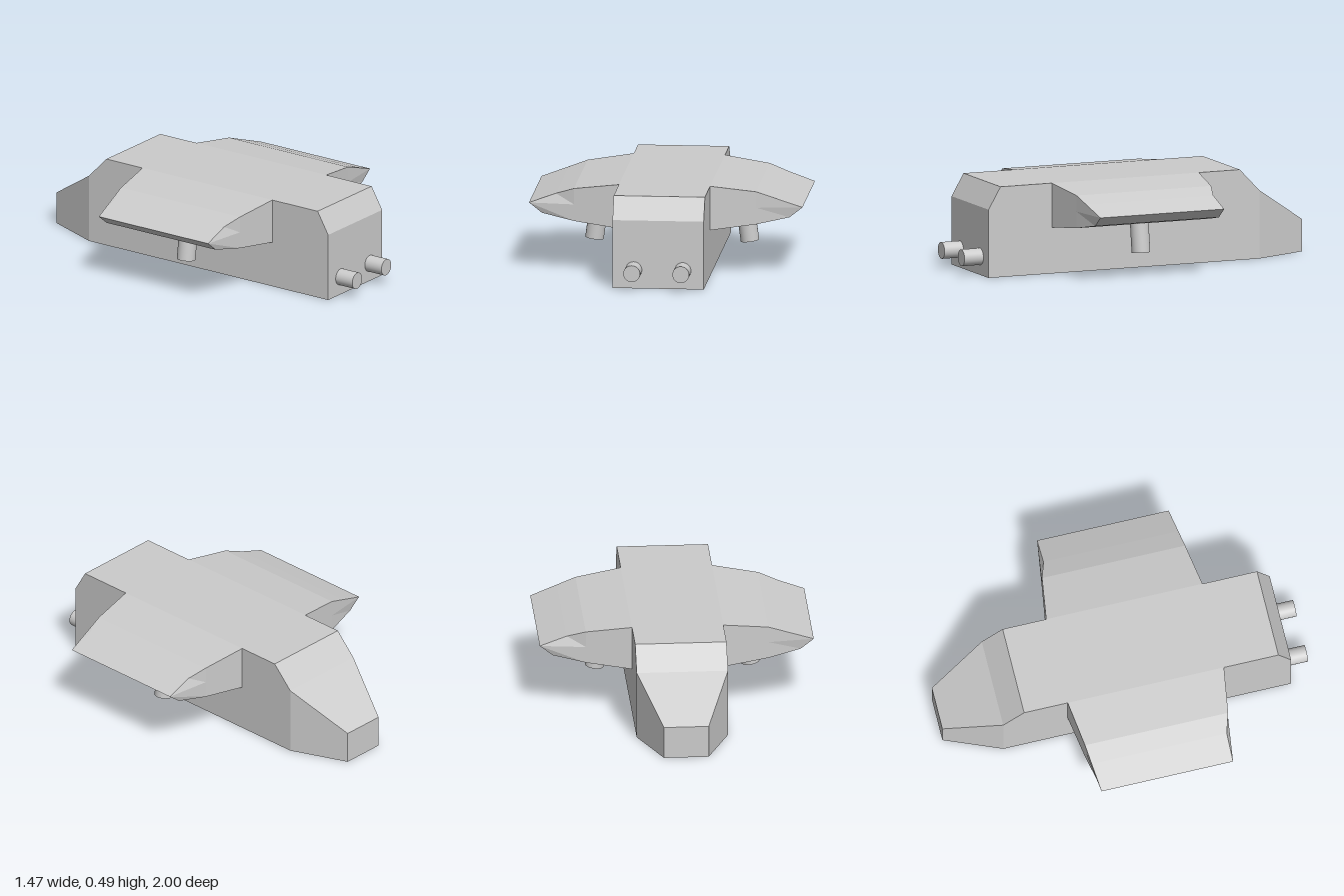
import * as THREE from 'three';

const material = new THREE.MeshStandardMaterial({ color: 0xcccccc, flatShading: true });
const smooth = new THREE.MeshStandardMaterial({ color: 0xcccccc });

// Faceted solid through cross-sections; rings run counter-clockwise seen from the end of travel
function loft(rings) {
  const positions = [];
  const quad = (a, b, c, d) => [a, b, c, a, c, d].forEach((p) => positions.push(...p));
  const cap = (r) => {
    const n = r.length;
    for (let k = 0; k < n / 2 - 1; k++) quad(r[k], r[k + 1], r[n - 2 - k], r[n - 1 - k]);
  };
  for (let i = 0; i < rings.length - 1; i++) {
    const p = rings[i], q = rings[i + 1], n = p.length;
    for (let j = 0; j < n; j++) quad(p[j], p[(j + 1) % n], q[(j + 1) % n], q[j]);
  }
  cap([...rings[0]].reverse());
  cap(rings[rings.length - 1]);
  const geometry = new THREE.BufferGeometry();
  geometry.setAttribute('position', new THREE.Float32BufferAttribute(positions, 3));
  geometry.computeVertexNormals();
  return geometry;
}

export function createModel() {
  const model = new THREE.Group();
  model.name = 'ship';
  const add = (name, geometry, mat = material) => {
    const mesh = new THREE.Mesh(geometry, mat);
    mesh.name = name;
    model.add(mesh);
    return mesh;
  };

  // Hull sections: z, half width, roof height
  const hull = [
    [-1, 0.12, 0.175], [-0.695, 0.245, 0.37], [-0.58, 0.245, 0.49],
    [0.82, 0.245, 0.49], [0.89, 0.245, 0.37],
  ];
  add('hull', loft(hull.map(([z, w, top]) => [[w, 0, z], [w, top, z], [-w, top, z], [-w, 0, z]])));

  // Wing sections: half depth, then x and y of the top, middle and bottom edges
  const wing = [
    [0.43, [0.245, 0.49], [0.245, 0.37], [0.245, 0.25]],
    [0.394, [0.49, 0.457], [0.49, 0.37], [0.49, 0.28]],
    [0.362, [0.59, 0.423], [0.735, 0.37], [0.665, 0.315]],
  ];
  const wingGeometry = loft(wing.map(([d, ...edge]) => [
    ...edge.map(([x, y]) => [x, y, d]),
    ...edge.map(([x, y]) => [x, y, -d]).reverse(),
  ]));

  for (const side of [1, -1]) {
    const label = side > 0 ? 'left' : 'right';

    // The wing is symmetric front to back, so a half turn gives the other side
    const wingMesh = add(label + 'Wing', wingGeometry);
    wingMesh.position.z = 0.09;
    wingMesh.rotation.y = side > 0 ? 0 : Math.PI;

    // Splayed pod under the wing
    const pod = add(label + 'WingPod', new THREE.CylinderGeometry(0.05, 0.05, 0.22, 32), smooth);
    pod.position.set(side * 0.403, 0.219, 0.075);
    pod.rotation.z = side * 0.135;

    // Forward barrel
    const barrel = add(label + 'Barrel', new THREE.CylinderGeometry(0.045, 0.045, 0.15, 32), smooth);
    barrel.position.set(side * 0.132, 0.1, 0.925);
    barrel.rotation.x = Math.PI / 2;
  }
  return model;
}
